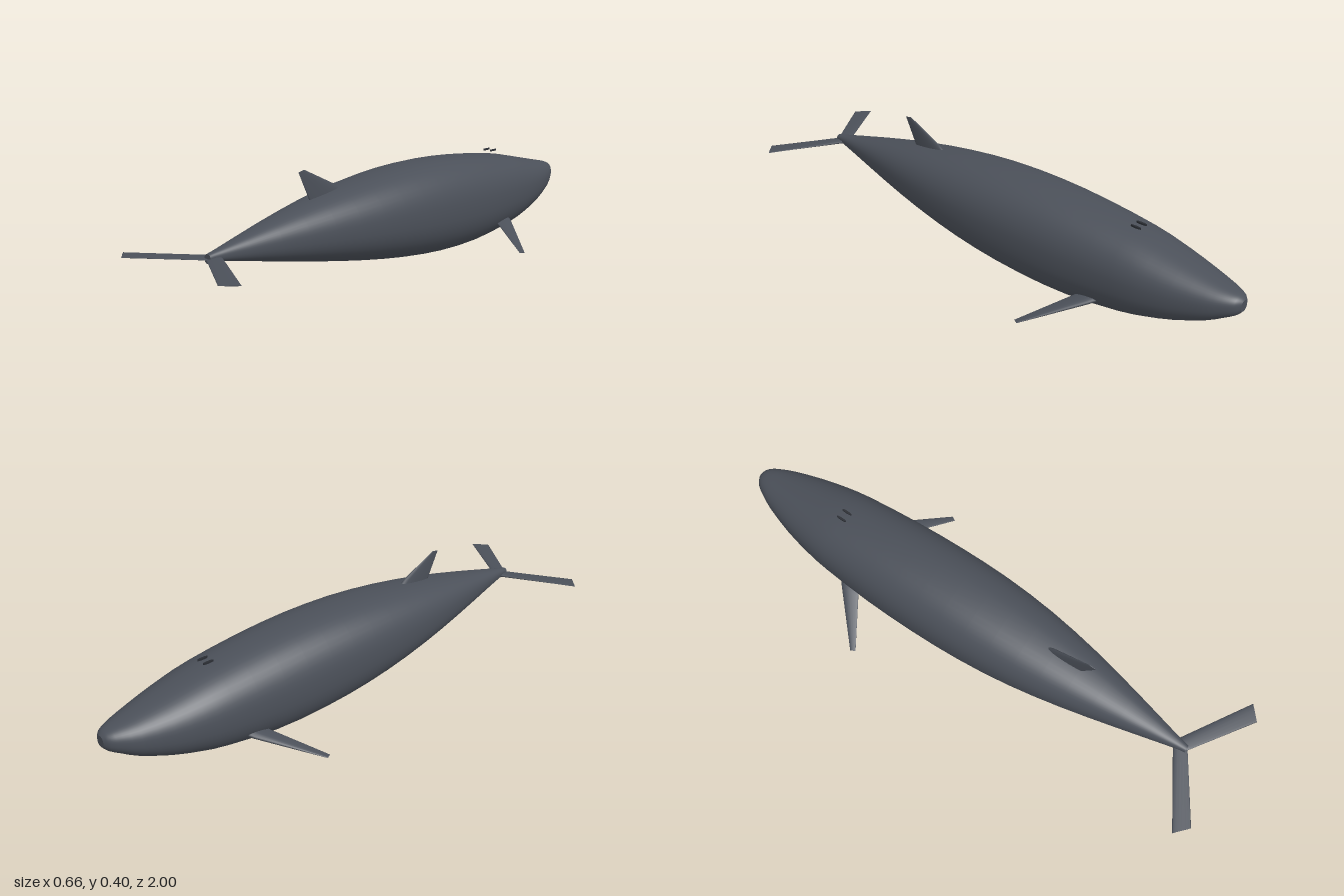
import * as THREE from 'three';

const skin = new THREE.MeshStandardMaterial({ color: 0x4b5059 });
skin.name = 'slate skin';
const dark = new THREE.MeshStandardMaterial({ color: 0x2a2d33 });
dark.name = 'dark detail';

// Skin a series of closed rings, with flat caps at both ends
function loft(rings, flip = false) {
  const n = rings[0].length;
  const pos = [];
  const idx = [];
  const tri = (a, b, c) => (flip ? idx.push(a, c, b) : idx.push(a, b, c));
  rings.forEach((r) => r.forEach((p) => pos.push(p.x, p.y, p.z)));
  for (let i = 0; i < rings.length - 1; i++) {
    for (let j = 0; j < n; j++) {
      const a = i * n + j, b = i * n + ((j + 1) % n);
      tri(a, b, a + n);
      tri(b, b + n, a + n);
    }
  }
  [rings[0], rings[rings.length - 1]].forEach((r, end) => {
    const base = pos.length / 3;
    r.forEach((p) => pos.push(p.x, p.y, p.z));
    for (let j = 1; j < n - 1; j++) {
      if (end) tri(base, base + j, base + j + 1);
      else tri(base, base + j + 1, base + j);
    }
  });
  const g = new THREE.BufferGeometry();
  g.setAttribute('position', new THREE.Float32BufferAttribute(pos, 3));
  g.setIndex(idx);
  g.computeVertexNormals();
  return g;
}

// Body stations: z, half width, top y, bottom y
const stations = [
  [-1, 0.018, 0.217, 0.178],
  [-0.985, 0.04, 0.229, 0.162],
  [-0.95, 0.062, 0.239, 0.142],
  [-0.9, 0.085, 0.25, 0.115],
  [-0.8, 0.117, 0.273, 0.077],
  [-0.7, 0.139, 0.296, 0.049],
  [-0.6, 0.153, 0.316, 0.028],
  [-0.4, 0.167, 0.34, 0.005],
  [-0.2, 0.172, 0.352, 0.006],
  [0, 0.168, 0.349, 0.025],
  [0.2, 0.15, 0.331, 0.056],
  [0.4, 0.116, 0.302, 0.094],
  [0.6, 0.071, 0.263, 0.136],
  [0.8, 0.022, 0.218, 0.178],
  [0.845, 0.014, 0.209, 0.178],
];

function bodyGeometry() {
  const curve = (k) => new THREE.CatmullRomCurve3(
    stations.map((s) => new THREE.Vector3(s[1], s[k], s[0])), false, 'catmullrom', 0.5);
  const top = curve(2), bottom = curve(3);
  const steps = (stations.length - 1) * 2;
  const rings = [];
  const soft = (v) => Math.sign(v) * Math.abs(v) ** (2 / 2.3);
  for (let i = 0; i <= steps; i++) {
    const a = top.getPoint(i / steps), b = bottom.getPoint(i / steps);
    const cy = (a.y + b.y) / 2, h = (a.y - b.y) / 2;
    const ring = [];
    for (let j = 0; j < 48; j++) {
      const t = (j / 48) * Math.PI * 2;
      ring.push(new THREE.Vector3(soft(Math.cos(t)) * a.x, cy + soft(Math.sin(t)) * h, a.z));
    }
    rings.push(ring);
  }
  return loft(rings);
}

// Fin from teardrop sections; each section is [leading point, trailing point, half thickness]
function finGeometry(sections, normal, side = 1) {
  const N = new THREE.Vector3(...normal).normalize();
  const rings = sections.map(([lead, trail, h]) => {
    const L = new THREE.Vector3(...lead), T = new THREE.Vector3(...trail);
    const mid = L.clone().add(T).multiplyScalar(0.5);
    const u = L.clone().sub(mid);
    return Array.from({ length: 16 }, (_, j) => {
      const t = (j / 16) * Math.PI * 2;
      const p = mid.clone().addScaledVector(u, Math.cos(t))
        .addScaledVector(N, h * Math.sin(t) * (0.85 + 0.4 * Math.cos(t)));
      p.x *= side;
      return p;
    });
  });
  return loft(rings, side < 0);
}

export function createModel() {
  const model = new THREE.Group();
  model.name = 'whale';
  const add = (name, geometry, material) => {
    const mesh = new THREE.Mesh(geometry, material);
    mesh.name = name;
    model.add(mesh);
    return mesh;
  };

  add('body', bodyGeometry(), skin);

  // Swept fin on the back
  add('dorsalFin', finGeometry([
    [[0, 0.305, 0.25], [0, 0.285, 0.4], 0.011],
    [[0, 0.335, 0.285], [0, 0.31, 0.412], 0.009],
    [[0, 0.405, 0.428], [0, 0.4, 0.455], 0.0015],
  ], [-1, 0, 0]), skin);

  for (const side of [1, -1]) {
    const label = side > 0 ? 'left' : 'right';

    add(label + 'Flipper', finGeometry([
      [[0.11, 0.092, -0.565], [0.11, 0.089, -0.48], 0.012],
      [[0.155, 0.079, -0.532], [0.155, 0.075, -0.455], 0.0105],
      [[0.33, 0.018, -0.37], [0.321, 0.019, -0.352], 0.0015],
    ], [0.3, 1, 0], side), skin);

    add(label + 'Fluke', finGeometry([
      [[0, 0.191, 0.792], [0, 0.191, 0.85], 0.007],
      [[0.02, 0.191, 0.803], [0.015, 0.191, 0.86], 0.0065],
      [[0.272, 0.189, 0.953], [0.222, 0.189, 0.997], 0.001],
    ], [0, 1, 0], side), skin);

    // Small round eye, low on the head
    const eye = add(label + 'Eye', new THREE.SphereGeometry(0.009, 12, 8), dark);
    eye.scale.x = 0.5;
    eye.position.set(side * 0.14, 0.145, -0.65);

    // Slit on top of the head
    const slit = add(label + 'Blowhole', new THREE.CylinderGeometry(0.02, 0.02, 0.006, 16), dark);
    slit.scale.x = 0.2;
    slit.position.set(side * 0.016, 0.331, -0.6);
  }

  return model;
}
